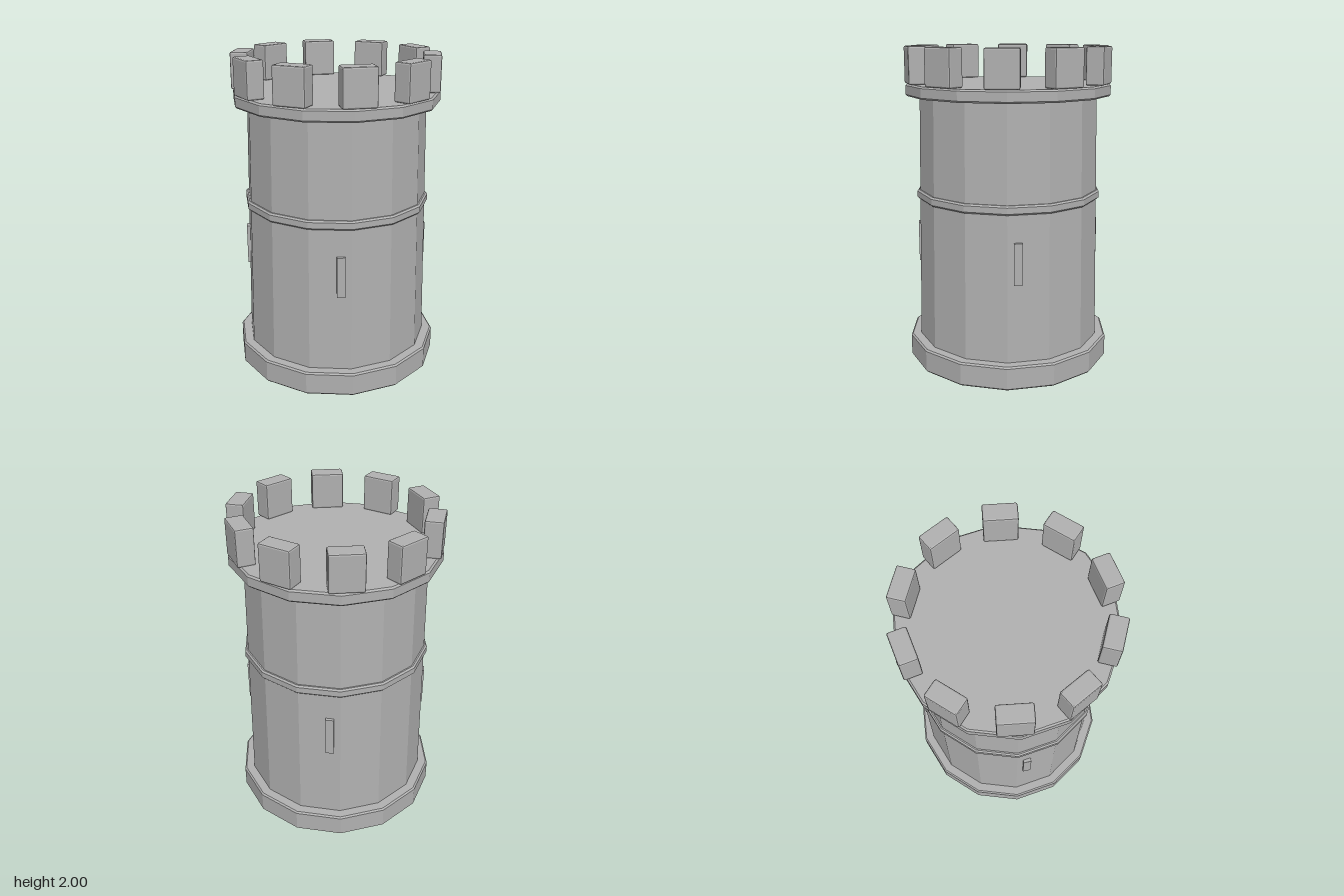
import * as THREE from 'three';
import { RoundedBoxGeometry } from 'three/addons/geometries/RoundedBoxGeometry.js';

const SIDES = 14;

export function createModel() {
  const tower = new THREE.Group();
  tower.name = 'tower';
  const stone = new THREE.MeshStandardMaterial({ color: 0xb0b0b0, flatShading: true });
  stone.name = 'stone';

  function add(name, geometry, parent = tower) {
    const mesh = new THREE.Mesh(geometry, stone);
    mesh.name = name;
    parent.add(mesh);
    return mesh;
  }

  // Solid faceted ring with small chamfers on both rims
  function slab(name, radius, y0, y1, bevel) {
    const profile = [
      [0, y0], [radius - bevel, y0], [radius, y0 + bevel],
      [radius, y1 - bevel], [radius - bevel, y1], [0, y1],
    ].map(([r, y]) => new THREE.Vector2(r, y));
    return add(name, new THREE.LatheGeometry(profile, SIDES));
  }

  slab('base', 0.65, 0, 0.15, 0.01);
  slab('middleBand', 0.585, 1.058, 1.115, 0.01);
  slab('parapetFloor', 0.64, 1.7, 1.775, 0.01);

  // Tapered wall
  const wall = add('wall', new THREE.CylinderGeometry(0.555, 0.585, 1.58, SIDES, 1, true));
  wall.position.y = 0.93;

  // Ring of battlements, standing on the parapet
  const battlements = new THREE.Group();
  battlements.name = 'battlements';
  tower.add(battlements);
  const merlonGeometry = new RoundedBoxGeometry(0.11, 0.225, 0.2, 1, 0.01);
  for (let i = 0; i < 10; i++) {
    const a = (i / 10) * Math.PI * 2;
    const merlon = add('merlon', merlonGeometry, battlements);
    merlon.position.set(Math.cos(a) * 0.58, 1.8875, Math.sin(a) * 0.58);
    merlon.rotation.y = -a;
  }

  // Arrow slits on the four diagonals, slightly proud of the wall
  const slitGeometry = new THREE.BoxGeometry(0.05, 0.255, 0.06);
  for (let i = 0; i < 4; i++) {
    const a = Math.PI / 4 + (i * Math.PI) / 2;
    const slit = add('arrowSlit', slitGeometry);
    slit.position.set(Math.sin(a) * 0.55, 0.763, Math.cos(a) * 0.55);
    slit.rotation.y = a;
  }

  return tower;
}
